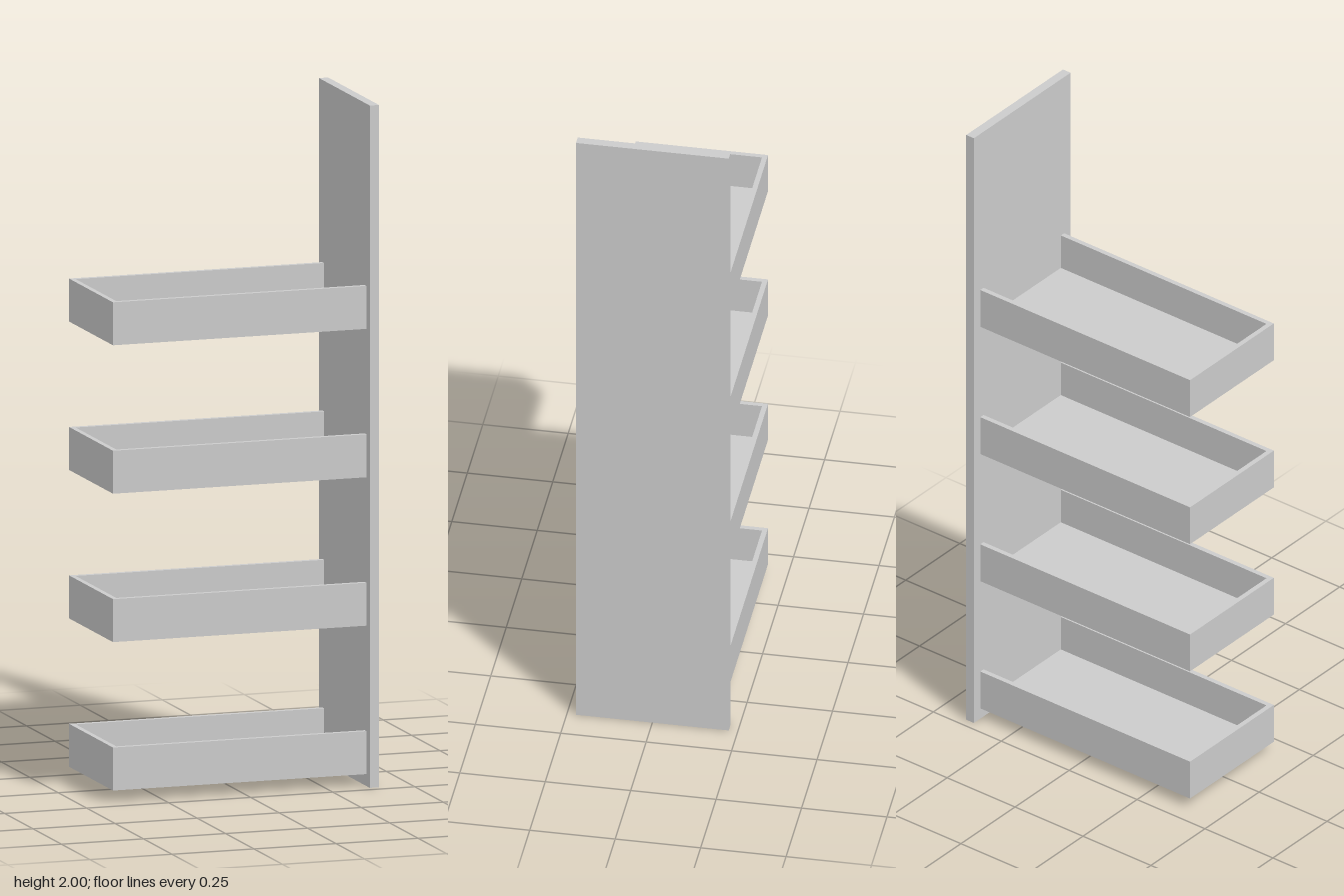
import * as THREE from 'three';

const material = new THREE.MeshStandardMaterial({ color: 0xcccccc });

// Box given by its minimum and maximum corners
function box(name, [x0, y0, z0], [x1, y1, z1]) {
  const mesh = new THREE.Mesh(new THREE.BoxGeometry(x1 - x0, y1 - y0, z1 - z0), material);
  mesh.name = name;
  mesh.position.set((x0 + x1) / 2, (y0 + y1) / 2, (z0 + z1) / 2);
  return mesh;
}

const LEFT = 0.4;          // outer face of the upright panel
const INNER = 0.372;       // face of the panel that carries the trays
const PANEL_DEPTH = 0.2235;
const TRAY_DEPTH = 0.1935;
const TRAY_HEIGHT = 0.126;
const BOARD = 0.015;

// Open tray: floor, two long sides and an end wall; the panel closes the other end
function createTray() {
  const tray = new THREE.Group();
  const inside = TRAY_DEPTH - BOARD;
  tray.add(
    box('trayFloor', [-LEFT + BOARD, 0, -inside], [INNER, BOARD, inside]),
    box('trayEnd', [-LEFT, 0, -inside], [-LEFT + BOARD, TRAY_HEIGHT, inside]),
    box('trayFrontSide', [-LEFT, 0, inside], [INNER, TRAY_HEIGHT, TRAY_DEPTH]),
    box('trayBackSide', [-LEFT, 0, -TRAY_DEPTH], [INNER, TRAY_HEIGHT, -inside]),
  );
  return tray;
}

export function createModel() {
  const model = new THREE.Group();
  model.name = 'pullOutShelf';

  // Tall upright panel
  model.add(box('uprightPanel', [INNER, 0, -PANEL_DEPTH], [LEFT, 2, PANEL_DEPTH]));

  // Four evenly spaced trays
  for (let i = 0; i < 4; i++) {
    const tray = createTray();
    tray.name = `tray${i + 1}`;
    tray.position.y = 0.035 + i * 0.435;
    model.add(tray);
  }
  return model;
}
